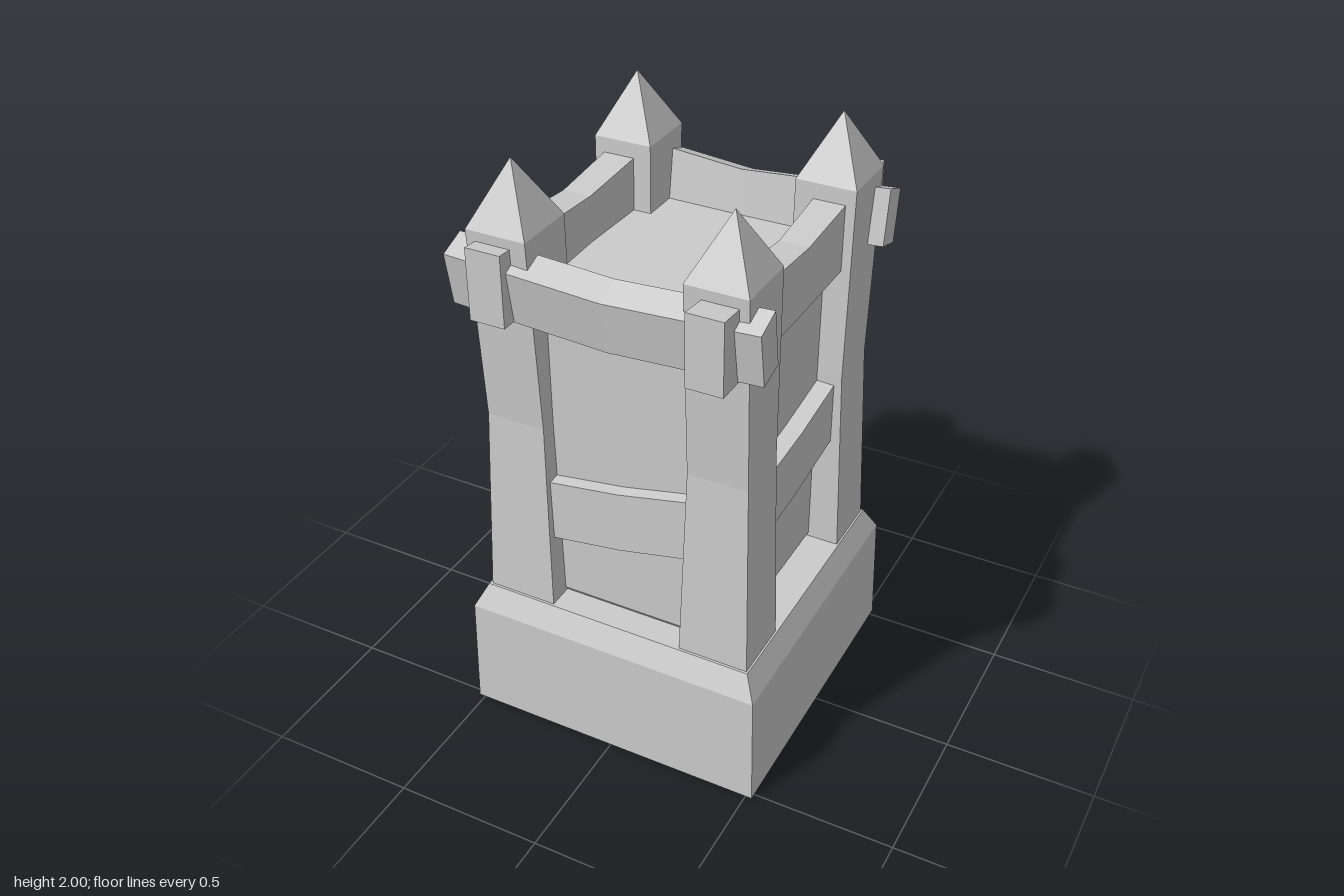
import * as THREE from 'three';

const material = new THREE.MeshStandardMaterial({ color: 0xcccccc, flatShading: true });

// Closed solid through a row of four-cornered rings, faces turned outward.
function loft(name, rings) {
  const tris = [];
  const quad = (a, b, c, d) => tris.push([a, b, c], [a, c, d]);
  for (let i = 0; i < rings.length - 1; i++) {
    const p = rings[i], q = rings[i + 1];
    for (let k = 0; k < 4; k++) quad(p[k], p[(k + 1) % 4], q[(k + 1) % 4], q[k]);
  }
  const s = rings[0], e = rings[rings.length - 1];
  quad(s[3], s[2], s[1], s[0]);
  quad(e[0], e[1], e[2], e[3]);
  const volume = tris.reduce((v, [a, b, c]) => v + a.dot(b.clone().cross(c)), 0);
  const pts = tris.flatMap(([a, b, c]) => (volume < 0 ? [a, c, b] : [a, b, c]));
  const geometry = new THREE.BufferGeometry().setFromPoints(pts);
  geometry.computeVertexNormals();
  const mesh = new THREE.Mesh(geometry, material);
  mesh.name = name;
  return mesh;
}

const V = (x, y, z) => new THREE.Vector3(x, y, z);

// Horizontal rectangle
const rect = (y, x0, x1, z0, z1) => [V(x0, y, z0), V(x1, y, z0), V(x1, y, z1), V(x0, y, z1)];

// Corner post with a pinched waist and a pyramid cap
function post(name, sx, sz) {
  const ring = (y, xi, xo, zi, zo) => rect(y, sx * xi, sx * xo, sz * zi, sz * zo);
  const cx = sx * 0.352, cz = sz * 0.37;
  return loft(name, [
    ring(0.47, 0.23, 0.467, 0.25, 0.467),
    ring(1.15, 0.246, 0.445, 0.25, 0.443),
    ring(1.8, 0.25, 0.45, 0.262, 0.478),
    rect(2, cx, cx, cz, cz),
  ]);
}

// Sagging rail along x, leaning outward, in front of or behind the posts
function crossRail(name, sz) {
  const section = [[0.39, 1.57], [0.48, 1.545], [0.51, 1.72], [0.42, 1.755]];
  return loft(name, [-0.51, -0.25, 0, 0.25, 0.5].map((x) => {
    const sag = 1 - Math.abs(x) / 0.51;
    return section.map(([z, y]) => V(x, y - 0.037 * sag, sz * (z - 0.012 * sag)));
  }));
}

// Sagging rail along z, running through the posts
function sideRail(name, sx, reach) {
  return loft(name, [-1, -0.45, 0, 0.45, 1].map((t) => {
    const sag = 1 - Math.abs(t);
    const x0 = sx * (0.302 + 0.016 * sag), x1 = sx * (0.42 - 0.006 * sag);
    const y0 = 1.535 - 0.015 * sag, y1 = 1.772 - 0.045 * sag, z = t * reach;
    return [V(x0, y0, z), V(x1, y0, z), V(x1, y1, z), V(x0, y1, z)];
  }));
}

// Slanted plank on the +z wall, then turned to its own wall
function plank(name, turn, depth, low, rise) {
  const mesh = loft(name, [-0.27, 0, 0.27].map((x) => {
    const y = low + rise * (x / 0.5 + 0.5) - (x === 0 ? 0.01 : 0);
    return [V(x, y + 0.012, depth - 0.1), V(x, y, depth), V(x, y + 0.215, depth), V(x, y + 0.22, depth - 0.1)];
  }));
  mesh.rotation.y = turn;
  return mesh;
}

export function createModel() {
  const model = new THREE.Group();
  model.name = 'watchtower';

  // Plinth with a bevelled top
  model.add(loft('base', [
    rect(0, -0.522, 0.522, -0.525, 0.52),
    rect(0.4, -0.515, 0.512, -0.518, 0.513),
    rect(0.483, -0.475, 0.473, -0.475, 0.475),
  ]));

  // Recessed walls with the upper floor on top
  model.add(loft('core', [
    rect(0.47, -0.345, 0.345, -0.37, 0.37),
    rect(0.497, -0.36, 0.36, -0.387, 0.387),
    rect(1.57, -0.36, 0.36, -0.387, 0.387),
  ]));

  for (const [sx, side] of [[1, 'Left'], [-1, 'Right']]) {
    for (const [sz, end] of [[1, 'front'], [-1, 'back']]) model.add(post(end + side + 'Post', sx, sz));
  }

  model.add(crossRail('frontRail', 1), crossRail('backRail', -1));
  model.add(sideRail('leftRail', 1, 0.568), sideRail('rightRail', -1, 0.53));

  model.add(plank('frontPlank', 0, 0.43, 0.73, 0.09));
  model.add(plank('backPlank', Math.PI, 0.43, 1.01, 0.07));
  model.add(plank('leftPlank', Math.PI / 2, 0.42, 0.85, 0.05));
  model.add(plank('rightPlank', -Math.PI / 2, 0.42, 0.85, 0.05));

  return model;
}
